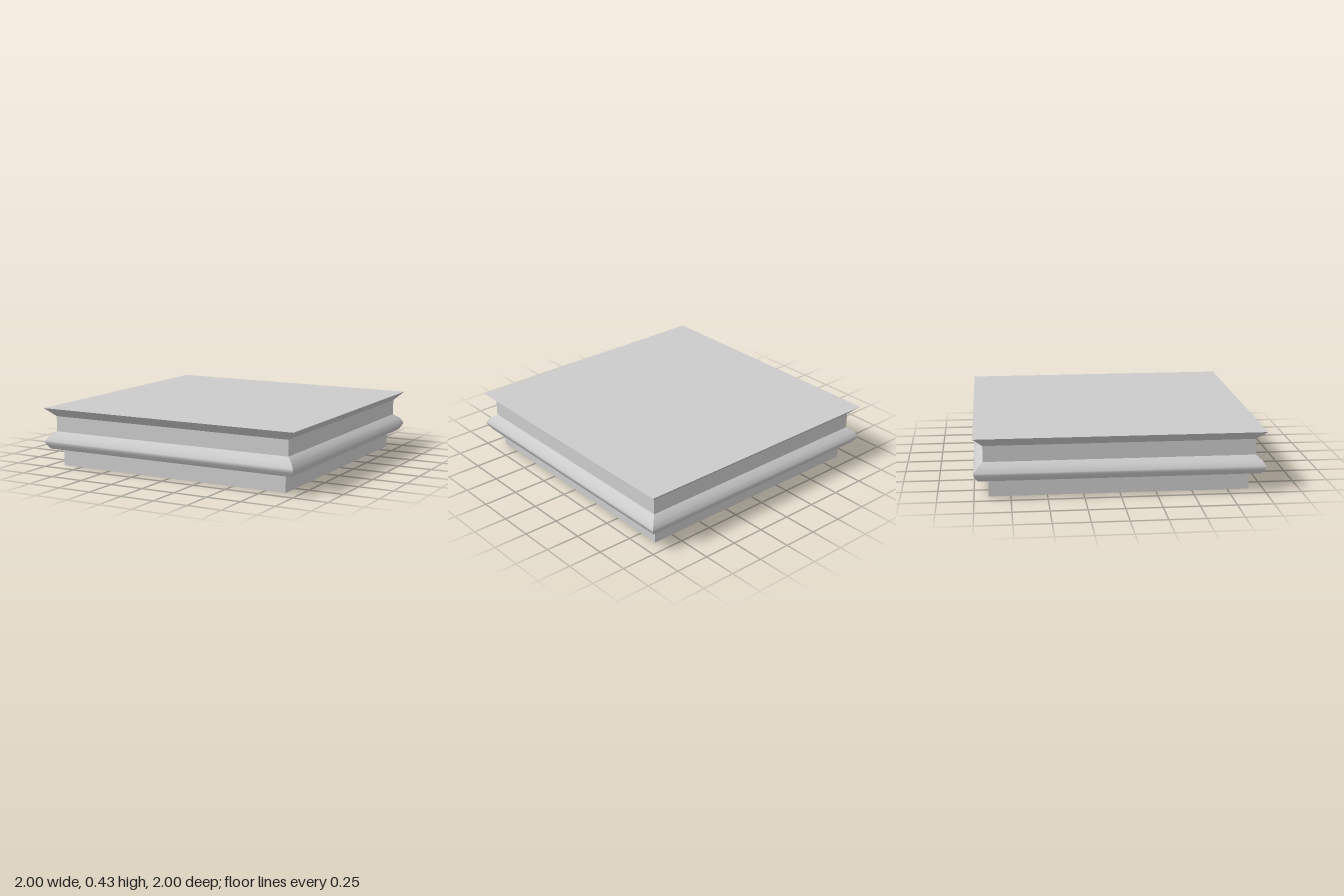
import * as THREE from 'three';
import { toCreasedNormals } from 'three/addons/utils/BufferGeometryUtils.js';

const material = new THREE.MeshStandardMaterial({ color: 0xcccccc });

// Sweep a [half width, height] profile around a square plan with mitred corners
function squareMoulding(name, profile) {
  const points = profile.map(([half, y]) => new THREE.Vector2(half * Math.SQRT2, y));
  const lathe = new THREE.LatheGeometry(points, 4, Math.PI / 4);
  const mesh = new THREE.Mesh(toCreasedNormals(lathe, 0.85), material);
  mesh.name = name;
  return mesh;
}

export function createModel() {
  const group = new THREE.Group();
  group.name = 'squareMouldedSlab';

  // Recessed foot
  group.add(squareMoulding('plinth', [[0, 0], [0.9, 0], [0.9, 0.13]]));

  // Rounded lower bead with its flat underside
  group.add(squareMoulding('bead', [
    [0.9, 0.13], [0.97, 0.13], [0.99, 0.16], [1, 0.18],
    [0.997, 0.19], [0.978, 0.222], [0.935, 0.255],
  ]));

  // Straight band
  group.add(squareMoulding('band', [[0.935, 0.255], [0.935, 0.367]]));

  // Flared lip and flat top
  group.add(squareMoulding('topLip', [[0.935, 0.367], [1, 0.43], [0, 0.43]]));

  return group;
}
